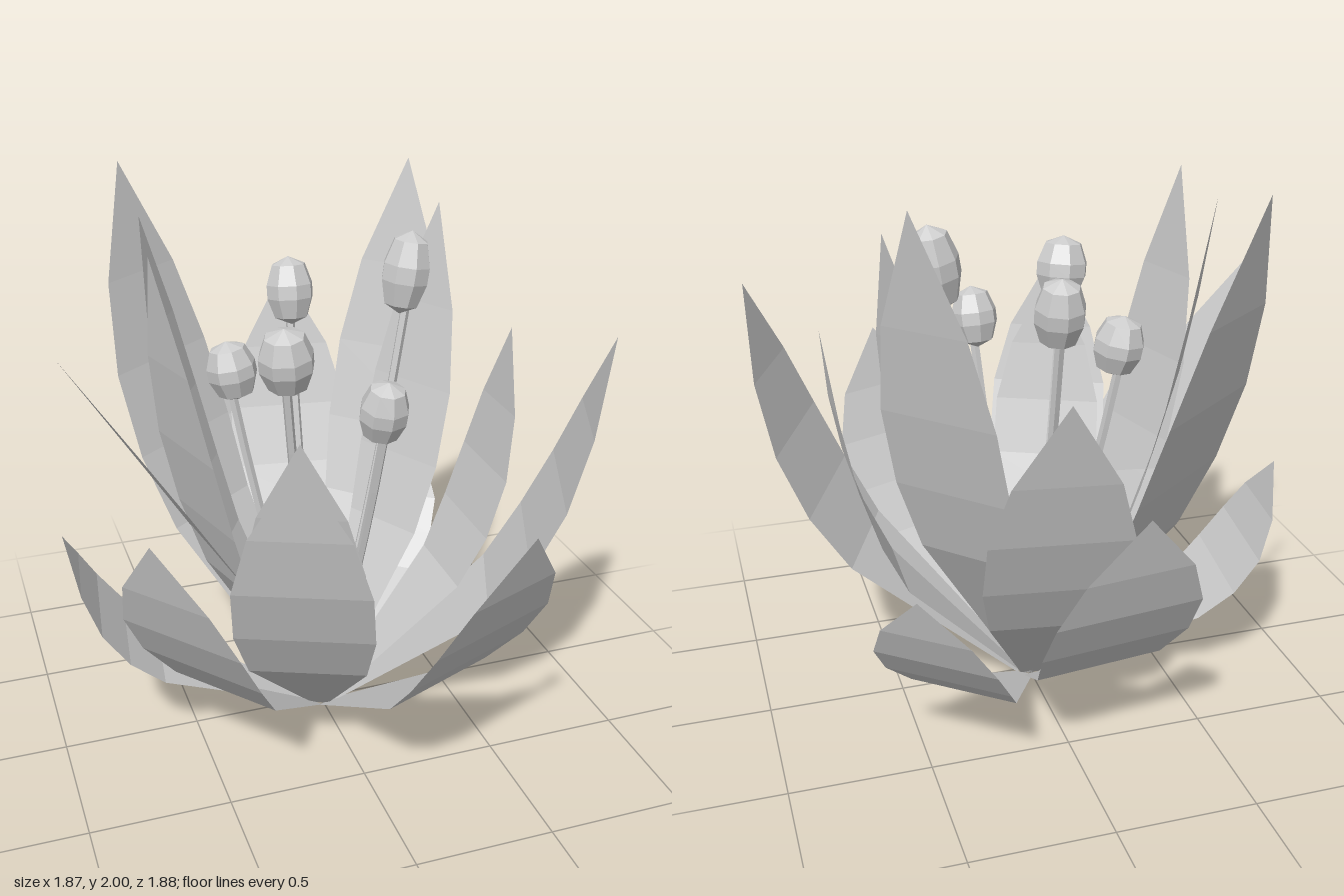
import * as THREE from 'three';

const petalGrey = new THREE.MeshStandardMaterial({ color: 0xcccccc, flatShading: true, side: THREE.DoubleSide });
petalGrey.name = 'pale grey';

// Shared petal rule: height, outward reach and width at each row
const ROW_Y = [0, 0.35, 0.49, 0.64, 0.8, 1];
const ROW_R = [0.04, 0.64, 0.77, 0.87, 0.94, 1];
const ROW_W = [0.14, 0.86, 1, 0.97, 0.7, 0];

// One petal as a strip of rows; bend 0 is straight, 1 cups upright
function petal(name, [x, y, z], width, bend) {
  const reach = Math.hypot(x, z);
  const dx = x / reach, dz = z / reach;
  const pos = [], index = [];
  ROW_Y.forEach((fy, i) => {
    const r = reach * (fy + (ROW_R[i] - fy) * bend);
    const h = (width * ROW_W[i]) / 2;
    for (const s of [-1, 1]) pos.push(dx * r - dz * h * s, fy * y, dz * r + dx * h * s);
    if (i === 0) return;
    const a = 2 * i - 2;
    index.push(a, a + 2, a + 1);
    if (i < ROW_Y.length - 1) index.push(a + 1, a + 2, a + 3);
  });
  const geo = new THREE.BufferGeometry();
  geo.setAttribute('position', new THREE.Float32BufferAttribute(pos, 3));
  geo.setIndex(index);
  geo.computeVertexNormals();
  const mesh = new THREE.Mesh(geo, petalGrey);
  mesh.name = name;
  return mesh;
}

// Thin curved filament carrying a faceted anther, tilted along the filament's end
function stamen([x, y, z], radius, half) {
  const g = new THREE.Group();
  g.name = 'stamen';
  const reach = Math.hypot(x, z);
  const curve = new THREE.QuadraticBezierCurve3(
    new THREE.Vector3((x / reach) * 0.02, 0.02, (z / reach) * 0.02),
    new THREE.Vector3(x * 0.65, y * 0.48, z * 0.65),
    new THREE.Vector3(x, y - half * 0.9, z)
  );
  const filament = new THREE.Mesh(new THREE.TubeGeometry(curve, 6, 0.017, 5), petalGrey);
  filament.name = 'filament';
  const profile = [[0, -1], [0.72, -0.77], [1, -0.2], [1, 0.2], [0.72, 0.77], [0, 1]]
    .map(([r, h]) => new THREE.Vector2(r * radius, h * half));
  const anther = new THREE.Mesh(new THREE.LatheGeometry(profile, 8), petalGrey);
  anther.name = 'anther';
  anther.position.set(x, y, z);
  anther.quaternion.setFromUnitVectors(new THREE.Vector3(0, 1, 0), curve.getTangent(1));
  g.add(filament, anther);
  return g;
}

export function createModel() {
  const flower = new THREE.Group();
  flower.name = 'flower';

  // Petals: tip position, width, bend
  const whorls = {
    lowerPetal: [
      [[0.39, 1.13, 0.94], 0.55, 0.93],
      [[-0.75, 1.12, 0.6], 0.5, 1],
      [[-0.93, 0.82, -0.12], 0.47, 1.05],
      [[-0.11, 1.09, -0.93], 0.54, 1.05],
      [[0.58, 0.81, -0.74], 0.46, 1.05],
    ],
    middlePetal: [
      [[0.94, 1.53, 0.39], 0.55, 0.9],
      [[-0.33, 1.42, 0.78], 0.47, 1.1],
      [[-0.93, 1.59, 0.14], 0.4, -0.1],
      [[0.13, 1.47, -0.88], 0.49, 0.87],
      [[0.73, 1.46, 0.01], 0.4, 1.1],
      [[-0.27, 1.4, 0.61], 0.42, 1],
    ],
    innerPetal: [
      [[-0.54, 2.0, -0.71], 0.52, 0.75],
      [[0.52, 1.98, -0.51], 0.45, 0.8],
      [[0.56, 1.86, -0.3], 0.38, 0.7],
      [[-0.55, 1.9, -0.31], 0.41, 0.75],
      [[-0.62, 1.9, 0.17], 0.39, 0.9],
    ],
  };
  for (const [name, list] of Object.entries(whorls))
    for (const [tip, width, bend] of list) flower.add(petal(name, tip, width, bend));

  // Stamens: anther centre, radius, half height
  [
    [[0, 1.565, -0.35], 0.087, 0.125],
    [[0.35, 1.675, -0.09], 0.087, 0.15],
    [[-0.2, 1.53, 0.25], 0.095, 0.12],
    [[0.11, 1.345, 0.34], 0.085, 0.115],
    [[-0.28, 1.36, -0.15], 0.09, 0.11],
  ].forEach((s) => flower.add(stamen(...s)));

  // Small receptacle where everything meets
  const base = new THREE.Mesh(new THREE.CylinderGeometry(0.055, 0.04, 0.03, 8), petalGrey);
  base.name = 'receptacle';
  base.position.y = 0.015;
  flower.add(base);
  return flower;
}
